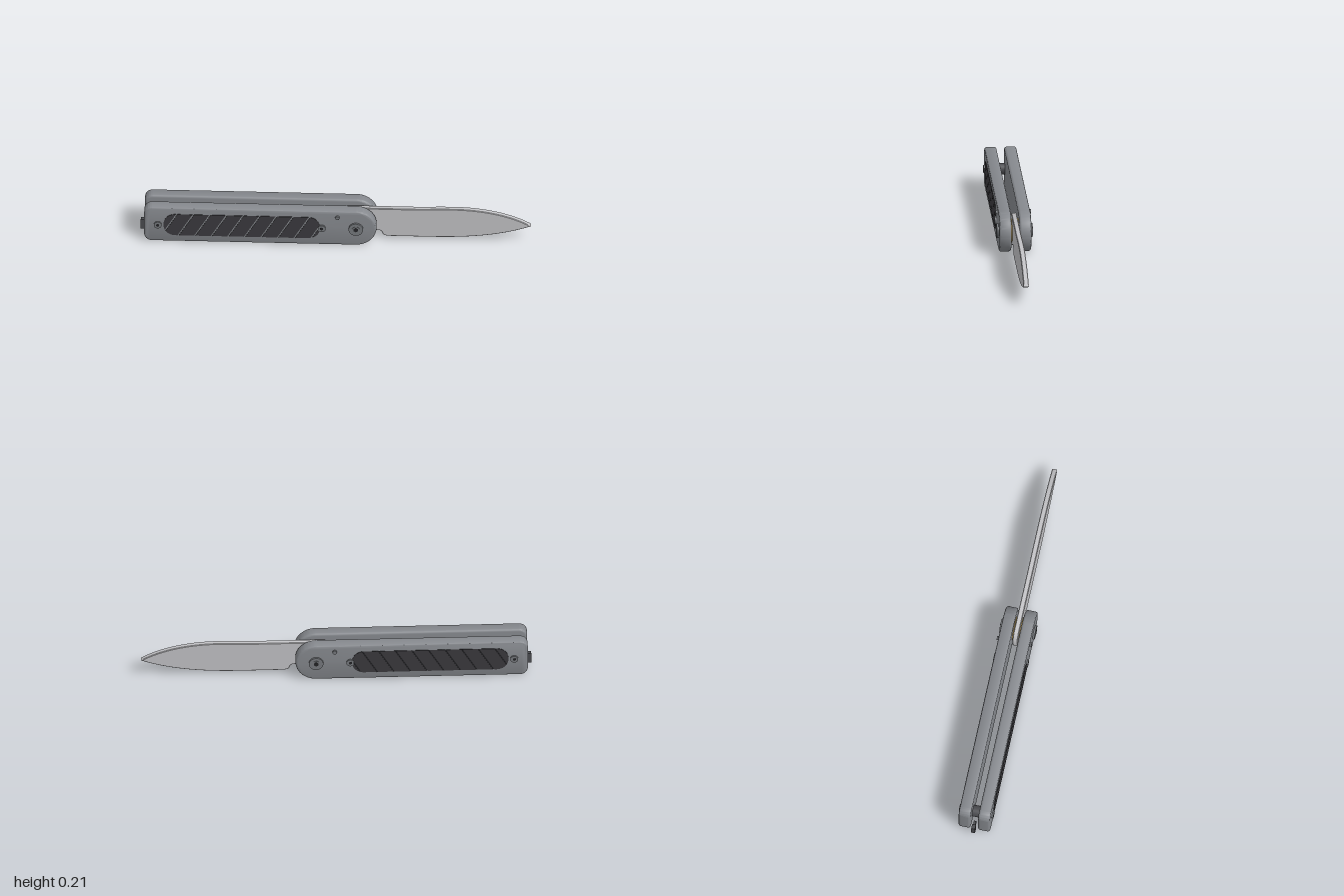
import * as THREE from 'three';
import { toCreasedNormals } from 'three/addons/utils/BufferGeometryUtils.js';

const material = (name, color) => {
  const m = new THREE.MeshStandardMaterial({ color });
  m.name = name;
  return m;
};

export function createModel() {
  const handleGrey = material('handle grey', 0x85888d);
  const bladeSteel = material('blade steel', 0xc2c2c5);
  const gripBlack = material('grip charcoal', 0x3b3a3e);
  const grooveBlack = material('groove black', 0x242427);
  const screwGrey = material('screw grey', 0x76797d);
  const tabGrey = material('tab dark grey', 0x4a4b4f);
  const brass = material('washer brass', 0xa58a4a);

  const model = new THREE.Group();
  model.name = 'foldingKnife';

  const add = (name, geometry, mat, x = 0, y = 0, z = 0, parent = model) => {
    const mesh = new THREE.Mesh(geometry, mat);
    mesh.name = name;
    mesh.position.set(x, y, z);
    parent.add(mesh);
    return mesh;
  };
  // Slab between z0 and z1, its edges bevelled inwards
  const slab = (shape, z0, z1, bevel = 0, segments = 1) => {
    const g = new THREE.ExtrudeGeometry(shape, {
      depth: z1 - z0 - 2 * bevel, curveSegments: 20, bevelEnabled: bevel > 0,
      bevelSize: bevel, bevelThickness: bevel, bevelOffset: -bevel, bevelSegments: segments,
    });
    g.translate(0, 0, z0 + bevel);
    return toCreasedNormals(g, 0.6);
  };
  // Cylinder lying along z
  const disc = (r, depth, sides = 28) => new THREE.CylinderGeometry(r, r, depth, sides).rotateX(Math.PI / 2);

  // Handle outline: small corners at the butt, full round at the pivot
  const handle = new THREE.Shape();
  const L = -0.98, B = 0.003, T = 0.216, c = 0.04, R = (T - B) / 2;
  handle.moveTo(L + c, B);
  handle.lineTo(0.21 - R, B);
  handle.absarc(0.21 - R, B + R, R, -Math.PI / 2, Math.PI / 2, false);
  handle.lineTo(L + c, T);
  handle.absarc(L + c, T - c, c, Math.PI / 2, Math.PI, false);
  handle.lineTo(L, B + c);
  handle.absarc(L + c, B + c, c, Math.PI, 1.5 * Math.PI, false);

  // Grip inlay outline with rounded ends
  const inlay = new THREE.Shape();
  const gl = -0.88, gr = -0.08, gb = 0.045, gt = 0.178, r = 0.06;
  inlay.moveTo(gl + r, gb);
  inlay.lineTo(gr - r, gb);
  inlay.absarc(gr - r, gb + r, r, -Math.PI / 2, 0, false);
  inlay.absarc(gr - r, gt - r, r, 0, Math.PI / 2, false);
  inlay.lineTo(gl + r, gt);
  inlay.absarc(gl + r, gt - r, r, Math.PI / 2, Math.PI, false);
  inlay.absarc(gl + r, gb + r, r, Math.PI, 1.5 * Math.PI, false);
  const outline = inlay.getPoints(10);

  // Slanted coordinate, and clipping of a convex outline by sign * (slant - limit) >= 0
  const slant = (p) => p.x - 0.58 * (p.y - gb);
  const clip = (points, limit, sign) => {
    const out = [];
    points.forEach((a, i) => {
      const b = points[(i + 1) % points.length];
      const da = sign * (slant(a) - limit), db = sign * (slant(b) - limit);
      if (da >= 0) out.push(a.clone());
      if (da * db < 0) out.push(a.clone().lerp(b, da / (da - db)));
    });
    return out;
  };
  const strips = [];
  for (let s = -0.975; s < gr; s += 0.085) {
    const points = clip(clip(outline, s + 0.004, 1), s + 0.081, -1);
    if (points.length > 2) strips.push(new THREE.Shape(points));
  }

  const pivotX = 0.105, midY = 0.11;
  for (const side of [1, -1]) {
    const half = new THREE.Group();
    half.name = side > 0 ? 'frontHalf' : 'backHalf';
    model.add(half);
    const put = (name, geometry, mat, x, y, z) => add(name, geometry, mat, x, y, z * side, half);
    const plate = (name, shape, mat, z0, z1, bevel, seg) =>
      put(name, side > 0 ? slab(shape, z0, z1, bevel, seg) : slab(shape, -z1, -z0, bevel, seg), mat, 0, 0, 0);

    plate('handleScale', handle, handleGrey, 0.02, 0.082, 0.012, 4);

    // Ribbed grip
    if (side < 0) plate('gripGrooves', inlay, grooveBlack, 0.081, 0.0828, 0);
    strips.forEach((s) => plate('gripStrip', s, gripBlack, 0.081, 0.0845, 0));

    // Body screws with sockets
    for (const x of [-0.91, -0.07]) {
      put('bodyScrew', disc(0.02, 0.012), screwGrey, x, midY, 0.084);
      put('screwSocket', disc(0.009, 0.002, 6), grooveBlack, x, midY, 0.0897);
    }
    // Pivot screw
    put('pivotScrew', disc(0.037, 0.014, 36), screwGrey, pivotX, midY, 0.085);
    put('pivotCentre', disc(0.02, 0.004), screwGrey, pivotX, midY, 0.092);
    put('pivotSocket', disc(0.013, 0.002, 6), grooveBlack, pivotX, midY, 0.0937);
    // Stop pin end and washer
    put('stopPin', disc(0.011, 0.012, 20), screwGrey, 0.01, 0.18, 0.085);
    put('pivotWasher', disc(0.062, 0.006, 36), brass, pivotX, midY, 0.017);
  }

  // Blade with tang, finger notch and curved point
  const blade = new THREE.Shape();
  blade.moveTo(0.02, 0.11);
  blade.quadraticCurveTo(0.02, 0.035, 0.1, 0.03);
  blade.lineTo(0.18, 0.055);
  blade.lineTo(0.22, 0.052);
  blade.quadraticCurveTo(0.236, 0.05, 0.238, 0.033);
  blade.quadraticCurveTo(0.245, 0.018, 0.275, 0.017);
  blade.lineTo(0.52, 0.017);
  blade.bezierCurveTo(0.7, 0.019, 0.86, 0.04, 1.0, 0.098);
  blade.bezierCurveTo(0.89, 0.168, 0.74, 0.196, 0.6, 0.195);
  blade.bezierCurveTo(0.52, 0.195, 0.46, 0.19, 0.4, 0.19);
  blade.lineTo(0.06, 0.19);
  blade.quadraticCurveTo(0.02, 0.17, 0.02, 0.11);
  add('blade', slab(blade, -0.0135, 0.0135, 0.003), bladeSteel);

  // Butt spacer and lock tab
  add('buttSpacer', disc(0.03, 0.044), tabGrey, -0.91, midY, 0);
  add('lockTab', new THREE.BoxGeometry(0.024, 0.06, 0.02), tabGrey, -0.988, 0.056, 0);
  add('lockTabStem', new THREE.BoxGeometry(0.03, 0.035, 0.012), tabGrey, -0.965, 0.056, 0);

  return model;
}
